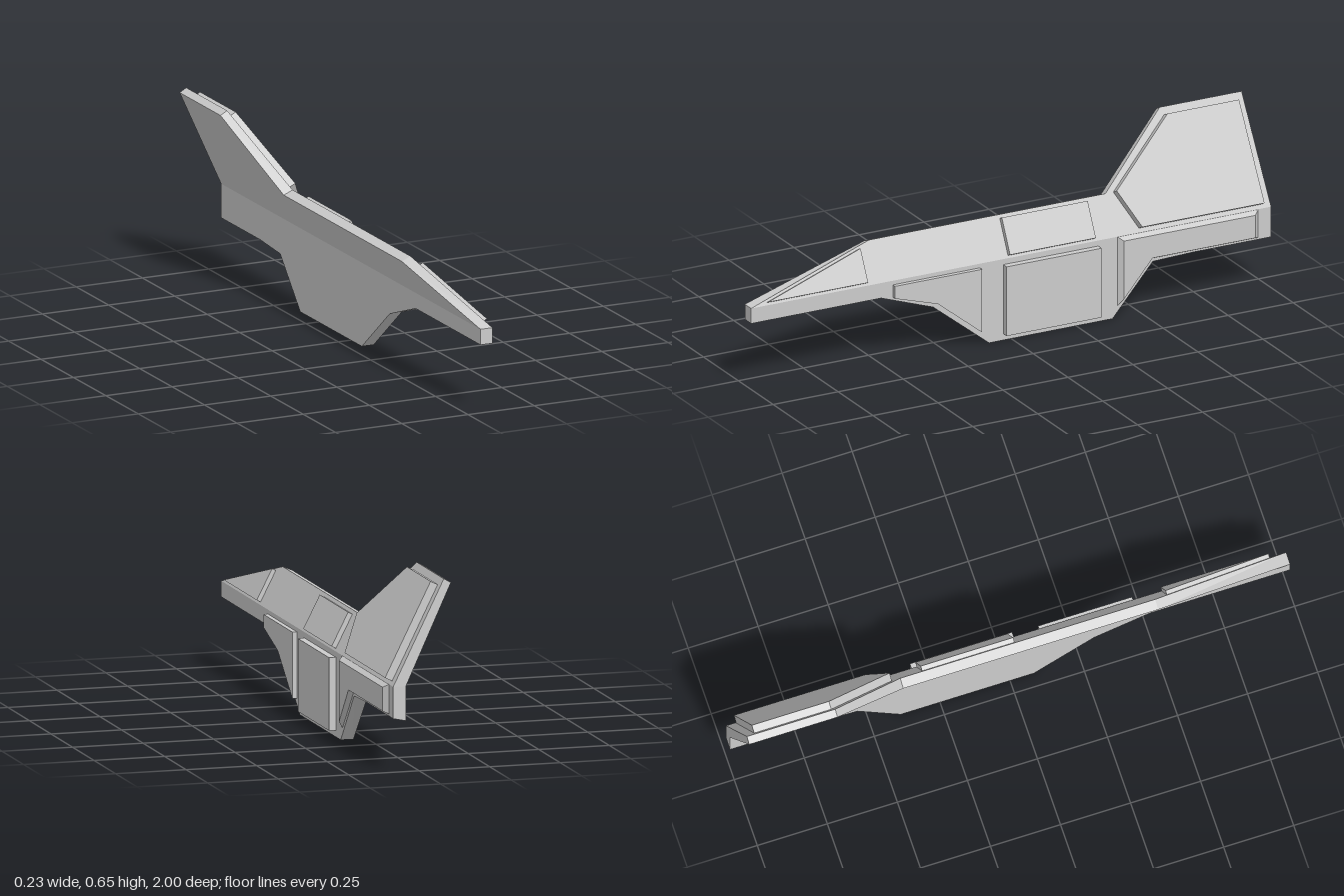
import * as THREE from 'three';

// Lower plate is vertical; upper plate leans towards -x from the crease.
const CREASE = 0.295;
const lowerIn = () => 0.047;
const lowerOut = () => 0.092;
const upperIn = (y) => 0.047 - 0.474 * (y - CREASE);
const upperOut = (y) => 0.092 - 0.511 * (y - CREASE);

// Closed slab between two matching [x, y, z] outlines (inner at low x, outer at high x)
function slab(name, inner, outer, material) {
  const flat = (loop) => loop.map(([, y, z]) => new THREE.Vector2(-z, y));
  if (THREE.ShapeUtils.isClockWise(flat(outer))) {
    inner = [...inner].reverse();
    outer = [...outer].reverse();
  }
  const pos = [];
  const tri = (a, b, c) => pos.push(...a, ...b, ...c);
  for (const [a, b, c] of THREE.ShapeUtils.triangulateShape(flat(outer), [])) {
    tri(outer[a], outer[b], outer[c]);
  }
  for (const [a, b, c] of THREE.ShapeUtils.triangulateShape(flat(inner), [])) {
    tri(inner[a], inner[c], inner[b]);
  }
  inner.forEach((p, i) => {
    const j = (i + 1) % inner.length;
    tri(p, inner[j], outer[j]);
    tri(p, outer[j], outer[i]);
  });
  const geometry = new THREE.BufferGeometry();
  geometry.setAttribute('position', new THREE.Float32BufferAttribute(pos, 3));
  geometry.computeVertexNormals();
  const mesh = new THREE.Mesh(geometry, material);
  mesh.name = name;
  return mesh;
}

// Place a [z, y] outline on a plate face
const onFace = (points, face) => points.map(([z, y]) => [face(y), y, z]);

export function createModel() {
  const group = new THREE.Group();
  group.name = 'foldedWingPlate';
  const material = new THREE.MeshStandardMaterial({ color: 0xcccccc, flatShading: true });

  // Lower hull plate, with a bevelled underside at the tail
  const keel = (tail, mid) => [
    [1, CREASE], [1, 0.24], [0.5, 0.24], [0.3, 0.17], [0.085, 0], [-0.39, 0],
    [-0.545, mid], [-0.7, tail], [-1, tail], [-1, CREASE],
  ];
  group.add(slab('lowerPlate', onFace(keel(0.175, 0.165), lowerIn),
    onFace(keel(0.185, 0.18), lowerOut), material));

  // Leaning upper plate with nose taper and tail fin
  const upper = (shoulder, tip) => [
    [1, CREASE], [0.51, shoulder], [-0.4, shoulder], [-0.67, tip], [-0.985, tip], [-1, CREASE],
  ];
  group.add(slab('upperPlateAndFin', onFace(upper(0.416, 0.641), upperIn),
    onFace(upper(0.43, 0.655), upperOut), material));

  // Raised panels: outline on the face, then lifted along the face normal
  const panels = [
    ['frontHullPanel', lowerOut, 0.016,
      [[0.455, 0.28], [0.455, 0.235], [0.29, 0.185], [0.12, 0.05], [0.12, 0.28]]],
    ['middleHullPanel', lowerOut, 0.024,
      [[0.03, 0.275], [0.03, 0.023], [-0.335, 0.023], [-0.335, 0.275]]],
    ['nosePanel', upperOut, 0.015,
      [[0.94, 0.303], [0.555, 0.303], [0.555, 0.409]]],
    ['middleUpperPanel', upperOut, 0.017,
      [[0.01, 0.303], [-0.32, 0.303], [-0.32, 0.418], [0.01, 0.418]]],
    ['finPanel', upperOut, 0.028,
      [[-0.43, 0.43], [-0.495, 0.308], [-0.965, 0.308], [-0.955, 0.63], [-0.68, 0.63]]],
  ];
  for (const [name, face, lift, points] of panels) {
    const n = face === upperOut ? [0.89, 0.455] : [1, 0];
    const base = onFace(points, face);
    const top = base.map(([x, y, z]) => [x + n[0] * lift, y + n[1] * lift, z]);
    group.add(slab(name, base, top, material));
  }

  // Tail hull panel with sloping top and lower edges
  const tailBase = [[-0.41, 0.294], [-0.41, 0.045], [-0.54, 0.192], [-0.95, 0.192], [-0.95, 0.294]];
  const tailTop = [[-0.425, 0.282], [-0.425, 0.07], [-0.535, 0.2], [-0.93, 0.2], [-0.93, 0.282]];
  group.add(slab('tailHullPanel', onFace(tailBase, lowerOut),
    onFace(tailTop, () => 0.109), material));

  return group;
}
